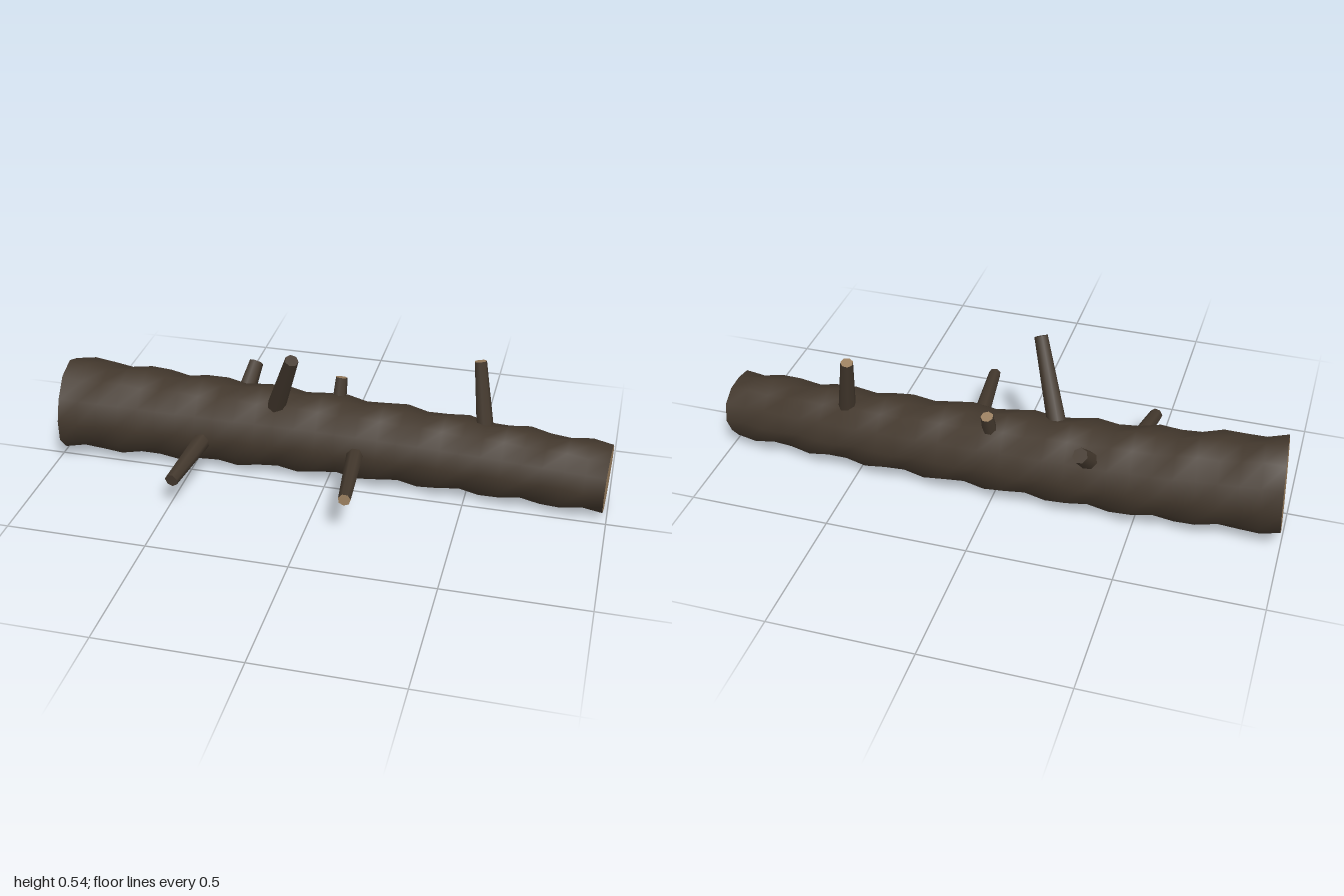
import * as THREE from 'three';

const V = (x, y, z) => new THREE.Vector3(x, y, z);

export function createModel() {
  const bark = new THREE.MeshStandardMaterial({ color: 0x43382d });
  bark.name = 'dark bark';
  const wood = new THREE.MeshStandardMaterial({ color: 0x9a7f5f });
  wood.name = 'cut wood';

  const group = new THREE.Group();
  group.name = 'log';
  const add = (geometry, material, name) => {
    const mesh = new THREE.Mesh(geometry, material);
    mesh.name = name;
    group.add(mesh);
    return mesh;
  };

  // Gently bent centre line of the trunk
  const spine = new THREE.CatmullRomCurve3([
    V(-0.985, 0.188, -0.08), V(-0.5, 0.167, -0.11), V(0, 0.16, -0.12),
    V(0.5, 0.148, -0.114), V(0.99, 0.137, -0.09),
  ]);
  const SIDES = 12, RINGS = 27;

  // One knobbly ring, square to the centre line
  const ring = (t) => {
    const c = spine.getPoint(t), axis = spine.getTangent(t);
    const up = V(0, 1, 0).addScaledVector(axis, -axis.y).normalize();
    const side = axis.clone().cross(up);
    const points = [];
    for (let i = 0; i < SIDES; i++) {
      const a = (i / SIDES) * Math.PI * 2;
      const bump = 0.008 * Math.cos((Math.PI * 2 * (c.x + 0.725)) / 0.228 + 3 * a);
      const r = 0.165 - 0.045 * t + bump;
      points.push(c.clone().addScaledVector(up, r * Math.cos(a)).addScaledVector(side, r * Math.sin(a)));
    }
    return points;
  };

  // Bark skin from the rings
  const points = [], index = [];
  for (let j = 0; j <= RINGS; j++) {
    points.push(...ring(j / RINGS));
    if (j === RINGS) break;
    for (let i = 0; i < SIDES; i++) {
      const a = j * SIDES + i, b = j * SIDES + ((i + 1) % SIDES);
      index.push(a, b, a + SIDES, b, b + SIDES, a + SIDES);
    }
  }
  const skin = new THREE.BufferGeometry().setFromPoints(points);
  skin.setIndex(index);
  skin.computeVertexNormals();
  add(skin, bark, 'trunk');

  // Sawn ends
  for (const [t, name] of [[0, 'leftInXCut'], [1, 'rightInXCut']]) {
    const face = new THREE.BufferGeometry().setFromPoints([spine.getPoint(t), ...ring(t)]);
    const fan = [];
    for (let i = 0; i < SIDES; i++) {
      const a = 1 + i, b = 1 + ((i + 1) % SIDES);
      fan.push(0, ...(t ? [a, b] : [b, a]));
    }
    face.setIndex(fan);
    face.computeVertexNormals();
    add(face, wood, t ? 'narrowCutEnd' : 'wideCutEnd');
  }

  // Branch stubs: base, tip, base radius, tip radius, tip material
  const stubs = [
    [V(-0.437, 0.162, -0.02), V(-0.477, 0.133, 0.275), 0.034, 0.024, bark],
    [V(0.11, 0.16, -0.02), V(0.145, 0.172, 0.31), 0.031, 0.022, wood],
    [V(-0.195, 0.27, -0.07), V(-0.1, 0.535, 0.055), 0.034, 0.024, bark],
    [V(-0.345, 0.25, -0.215), V(-0.33, 0.323, -0.291), 0.033, 0.027, bark],
    [V(0.012, 0.25, -0.17), V(0.015, 0.35, -0.204), 0.027, 0.022, wood],
    [V(0.545, 0.25, -0.153), V(0.51, 0.476, -0.207), 0.031, 0.022, wood],
  ];
  stubs.forEach(([base, tip, r0, r1, tipMaterial], i) => {
    const dir = tip.clone().sub(base);
    const geometry = new THREE.CylinderGeometry(r1, r0, dir.length(), 7);
    const stub = add(geometry, [bark, tipMaterial, bark], 'branchStub' + (i + 1));
    stub.position.copy(base).add(tip).multiplyScalar(0.5);
    stub.quaternion.setFromUnitVectors(V(0, 1, 0), dir.normalize());
  });

  return group;
}
